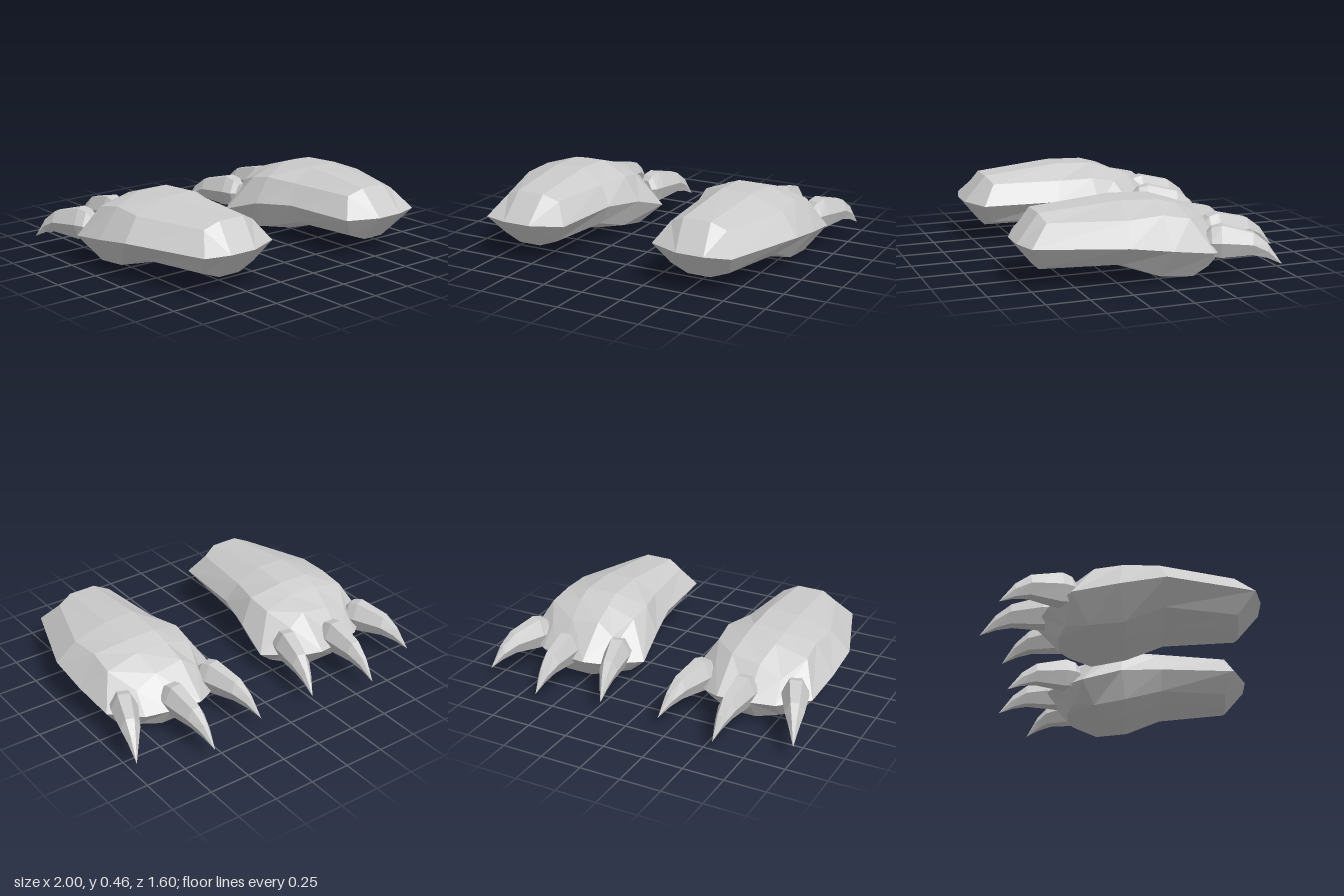
import * as THREE from 'three';

const material = new THREE.MeshStandardMaterial({ color: 0xcccccc, flatShading: true });

// Skin closed rings of points (each counterclockwise seen from +z, running towards -z).
// side = -1 mirrors the result in x and keeps the faces outward.
function loft(rings, side, name) {
  const pts = rings.map(ring => {
    const r = ring.map(p => new THREE.Vector3(p[0] * side, p[1], p[2]));
    return side < 0 ? r.reverse() : r;
  });
  const out = [];
  const tri = (a, b, c) => {
    if (a.equals(b) || b.equals(c) || a.equals(c)) return;
    for (const v of [a, b, c]) out.push(v.x, v.y, v.z);
  };
  for (let i = 0; i < pts.length - 1; i++) {
    const n = pts[i].length;
    for (let j = 0; j < n; j++) {
      const k = (j + 1) % n;
      tri(pts[i][j], pts[i + 1][j], pts[i + 1][k]);
      tri(pts[i][j], pts[i + 1][k], pts[i][k]);
    }
  }
  const geometry = new THREE.BufferGeometry();
  geometry.setAttribute('position', new THREE.Float32BufferAttribute(out, 3));
  geometry.computeVertexNormals();
  const mesh = new THREE.Mesh(geometry, material);
  mesh.name = name;
  return mesh;
}

// A ten-point ring collapsed onto a short ridge, closing one end of the paw
const ridge = (outer, inner) =>
  Array.from({ length: 10 }, (_, j) => (j < 3 || j > 7 ? outer : inner));

// Ring order: outer side, outer shoulder, top x2, inner shoulder, inner side, inner low, bottom x2, outer low
const wrist = [
  [0.80, 0.25, 0.76], [0.72, 0.37, 0.65], [0.63, 0.41, 0.67], [0.46, 0.41, 0.67], [0.37, 0.37, 0.64],
  [0.29, 0.25, 0.72], [0.38, 0.13, 0.66], [0.49, 0.09, 0.67], [0.63, 0.09, 0.67], [0.74, 0.13, 0.66]];
const middle = [
  [0.97, 0.25, 0.26], [0.86, 0.38, 0.22], [0.66, 0.45, 0.20], [0.47, 0.455, 0.20], [0.33, 0.37, 0.22],
  [0.26, 0.25, 0.26], [0.33, 0.13, 0.25], [0.46, 0.09, 0.25], [0.66, 0.09, 0.25], [0.84, 0.13, 0.25]];
const palm = [
  [0.97, 0.21, 0.00], [0.85, 0.39, 0.02], [0.67, 0.44, -0.03], [0.47, 0.445, -0.03], [0.28, 0.38, 0.02],
  [0.20, 0.22, 0.00], [0.29, 0.06, 0.03], [0.46, 0.02, 0.03], [0.68, 0.02, 0.03], [0.84, 0.04, 0.03]];
const knuckles = [
  [0.95, 0.17, -0.26], [0.86, 0.36, -0.14], [0.66, 0.41, -0.14], [0.46, 0.41, -0.14], [0.29, 0.35, -0.13],
  [0.16, 0.14, -0.24], [0.29, 0.02, -0.17], [0.49, 0.00, -0.08], [0.67, 0.01, -0.08], [0.84, 0.02, -0.17]];
const toes = [
  [0.78, 0.16, -0.40], [0.77, 0.28, -0.30], [0.63, 0.34, -0.29], [0.45, 0.36, -0.28], [0.35, 0.29, -0.29],
  [0.35, 0.16, -0.42], [0.34, 0.05, -0.30], [0.47, 0.03, -0.35], [0.64, 0.03, -0.35], [0.77, 0.05, -0.30]];
const pawRings = [
  ridge([0.65, 0.25, 0.80], [0.48, 0.25, 0.80]),
  wrist, middle, palm, knuckles, toes,
  ridge([0.63, 0.17, -0.45], [0.45, 0.18, -0.48])];

// Claw sections: distance along the claw, half width, top, bottom
const clawSections = [
  [0, 0, 0.23, 0.23], [0, 0.055, 0.27, 0.17], [0.03, 0.075, 0.30, 0.14], [0.09, 0.08, 0.315, 0.13],
  [0.28, 0.056, 0.27, 0.145], [0.37, 0.03, 0.205, 0.125], [0.46, 0, 0.085, 0.085]];

// A hooked six-sided claw running from its root to its tip, given in plan as [x, z]
function clawRings(root, tip) {
  const dx = tip[0] - root[0], dz = tip[1] - root[1];
  const length = Math.hypot(dx, dz);
  const ux = dx / length, uz = dz / length;
  return clawSections.map(([s, w, top, bottom]) => {
    const d = s * length / 0.46;
    const mid = bottom + (top - bottom) * 0.5;
    const outline = [[w, mid], [0.45 * w, top], [-0.45 * w, top], [-w, mid], [-0.55 * w, bottom], [0.55 * w, bottom]];
    return outline.map(([a, y]) => [root[0] + ux * d - uz * a, y, root[1] + uz * d + ux * a]);
  });
}

export function createModel() {
  const model = new THREE.Group();
  model.name = 'clawedPaws';
  for (const side of [1, -1]) {
    const paw = new THREE.Group();
    paw.name = side > 0 ? 'leftPaw' : 'rightPaw';
    paw.add(loft(pawRings, side, 'pawBody'));
    paw.add(loft(clawRings([0.84, -0.25], [1.00, -0.65]), side, 'outerClaw'));
    paw.add(loft(clawRings([0.59, -0.34], [0.58, -0.80]), side, 'middleClaw'));
    paw.add(loft(clawRings([0.30, -0.27], [0.19, -0.71]), side, 'innerClaw'));
    model.add(paw);
  }
  return model;
}
